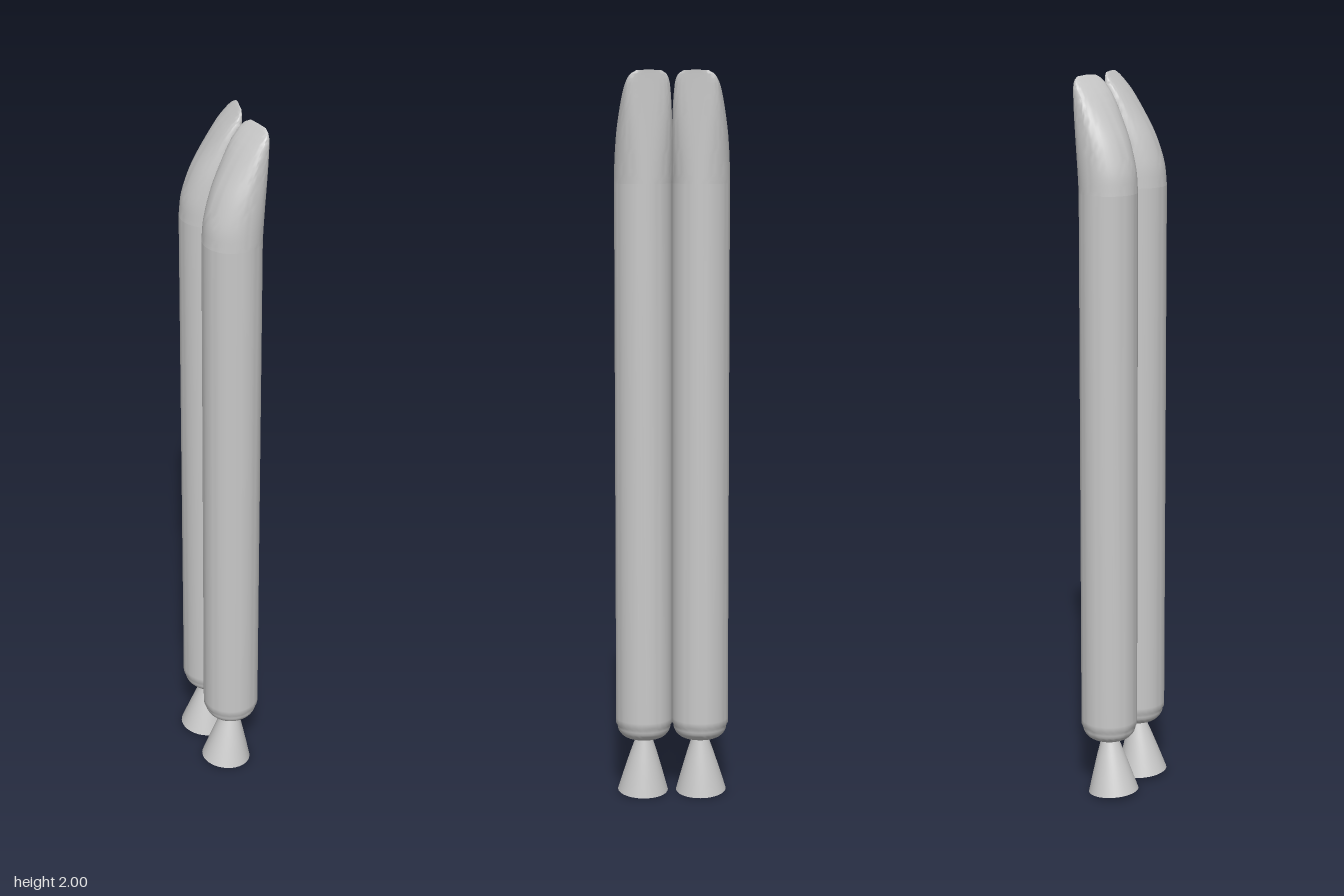
import * as THREE from 'three';
import { toCreasedNormals } from 'three/addons/utils/BufferGeometryUtils.js';

const R = 0.078; // booster radius

// Slanted nose: a round section that shifts to one side and squares off into a narrow lip
function noseGeometry() {
  // height, back edge, widest point, half width, squareness of the front half
  const keys = [
    [1.7, -0.078, 0, 0.078, 2],
    [1.76, -0.071, 0.003, 0.0775, 2.2],
    [1.83, -0.047, 0.012, 0.075, 2.6],
    [1.89, -0.014, 0.025, 0.07, 3.2],
    [1.94, 0.02, 0.04, 0.064, 4],
    [1.97, 0.046, 0.057, 0.058, 4.5],
    [1.988, 0.064, 0.069, 0.049, 4.5],
    [1.998, 0.074, 0.076, 0.034, 4.5],
  ];
  const spine = new THREE.CatmullRomCurve3(keys.map(k => new THREE.Vector3(k[1], k[0], k[2])), false, 'catmullrom');
  const width = new THREE.CatmullRomCurve3(keys.map(k => new THREE.Vector3(k[3], k[4], 0)), false, 'catmullrom');
  const rings = 28, sides = 48, pos = [], index = [];
  for (let i = 0; i <= rings; i++) {
    const t = i / rings;
    const { x: back, y, z: mid } = spine.getPoint(t);
    const { x: half, y: square } = width.getPoint(t);
    const front = R + 0.002 * t;
    for (let j = 0; j < sides; j++) {
      const a = (j / sides) * Math.PI * 2;
      const c = Math.cos(a), s = Math.sin(a);
      const e = c > 0 ? 2 / square : 1;
      const reach = c > 0 ? front - mid : mid - back;
      pos.push(mid + Math.sign(c) * reach * Math.abs(c) ** e, y, Math.sign(s) * half * Math.abs(s) ** e);
      if (i < rings) {
        const k = (j + 1) % sides, p = i * sides, q = p + sides;
        index.push(p + j, q + j, p + k, p + k, q + j, q + k);
      }
    }
  }
  // close the lip
  const tip = pos.length / 3, last = rings * sides;
  pos.push(0.078, 2, 0);
  for (let j = 0; j < sides; j++) index.push(last + j, tip, last + (j + 1) % sides);
  const g = new THREE.BufferGeometry();
  g.setAttribute('position', new THREE.Float32BufferAttribute(pos, 3));
  g.setIndex(index);
  return toCreasedNormals(g, 0.75);
}

// Straight tank with a rounded lower end
function tankGeometry() {
  const pts = [new THREE.Vector2(0, 0.163)];
  for (let i = 0; i <= 8; i++) {
    const a = (i / 8) * Math.PI / 2;
    pts.push(new THREE.Vector2(0.036 + 0.038 * Math.sin(a), 0.2 - 0.037 * Math.cos(a)));
  }
  pts.push(new THREE.Vector2(R, 0.206), new THREE.Vector2(R, 0.22), new THREE.Vector2(R, 1.7));
  return toCreasedNormals(new THREE.LatheGeometry(pts, 48), 0.75);
}

export function createModel() {
  const model = new THREE.Group();
  model.name = 'twinBoosters';
  const hull = new THREE.MeshStandardMaterial({ name: 'hullGrey', color: 0xc8c8c8 });
  const bell = new THREE.MeshStandardMaterial({ name: 'nozzleGrey', color: 0xcacaca, side: THREE.DoubleSide });

  const tankGeo = tankGeometry();
  const noseGeo = noseGeometry();
  // open bell hanging from its narrow end
  const nozzleGeo = new THREE.LatheGeometry(
    [[0.07, -0.164], [0.056, -0.115], [0.038, -0.055], [0.02, 0], [0.018, 0.01]].map(p => new THREE.Vector2(...p)), 40);

  for (const side of [1, -1]) {
    const booster = new THREE.Group();
    booster.name = side > 0 ? 'frontBooster' : 'backBooster';

    const tank = new THREE.Mesh(tankGeo, hull);
    tank.name = 'tank';
    const nose = new THREE.Mesh(noseGeo, hull);
    nose.name = 'slantedNose';
    const nozzle = new THREE.Mesh(nozzleGeo, bell);
    nozzle.name = 'nozzle';
    nozzle.position.y = 0.17;
    nozzle.rotation.z = -0.1; // canted away from the nose lip

    booster.add(tank, nose, nozzle);
    booster.position.set(0.001, 0, side * R);
    booster.rotation.y = side * 0.21; // lips turned towards each other
    model.add(booster);
  }
  return model;
}
